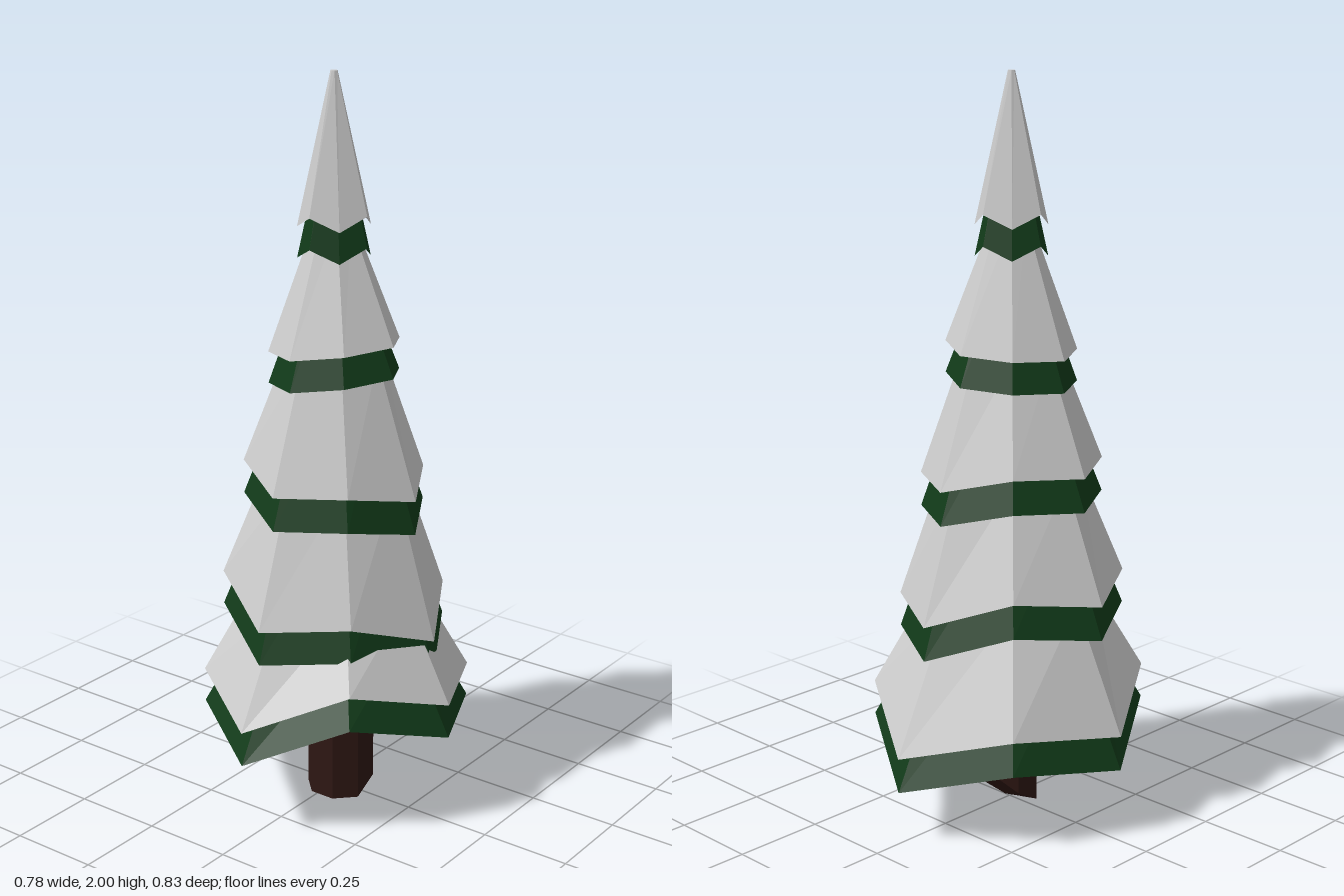
import * as THREE from 'three';

const SIDES = 8;
const CENTER_Z = 0.007;
const snowMat = new THREE.MeshStandardMaterial({ color: 0xcccccc, flatShading: true });
const leafMat = new THREE.MeshStandardMaterial({ color: 0x113a19, flatShading: true });
const barkMat = new THREE.MeshStandardMaterial({ color: 0x2e1713, flatShading: true });

// Faceted skin over a stack of eight-point rings, listed from the top down the outside
function loft(rings) {
  const pos = [];
  for (let i = 0; i < rings.length - 1; i++) {
    const a = rings[i], b = rings[i + 1];
    for (let k = 0; k < SIDES; k++) {
      const n = (k + 1) % SIDES;
      pos.push(...a[k], ...a[n], ...b[n], ...a[k], ...b[n], ...b[k]);
    }
  }
  const geo = new THREE.BufferGeometry();
  geo.setAttribute('position', new THREE.Float32BufferAttribute(pos, 3));
  geo.computeVertexNormals();
  return geo;
}

// Ring whose first point lies on +x and which turns towards +z; diagonals are pulled in a little
function ring(radius, y, diagonal = 0.915) {
  return Array.from({ length: SIDES }, (_, k) => {
    const a = (k / SIDES) * Math.PI * 2;
    const r = radius * (k % 2 ? diagonal : 1);
    return [Math.cos(a) * r, y, CENTER_Z + Math.sin(a) * r];
  });
}

// Copy of a ring, scaled about the tree axis and lifted
const inset = (pts, scale, lift) =>
  pts.map(([x, y, z]) => [x * scale, y + lift, CENTER_Z + (z - CENTER_Z) * scale]);

// Rim heights run: +x, front left, +z, front right, -x, back right, -z, back left
const tiers = [
  { top: [0.01, 2.0], r: 0.105, drop: 0.082, rim: [1.64, 1.605, 1.64, 1.605, 1.64, 1.605, 1.64, 1.605] },
  { top: [0.055, 1.62], r: 0.19, drop: 0.085, rim: [1.31, 1.3, 1.285, 1.275, 1.27, 1.275, 1.285, 1.3] },
  { top: [0.14, 1.27], r: 0.265, drop: 0.092, rim: [0.905, 0.94, 0.935, 0.98, 0.97, 0.98, 0.935, 0.94] },
  { top: [0.2, 0.95], r: 0.33, drop: 0.093, rim: [0.525, 0.6, 0.58, 0.665, 0.635, 0.665, 0.58, 0.6] },
  { top: [0.24, 0.62], r: 0.39, drop: 0.095, rim: [0.36, 0.435, 0.32, 0.385, 0.285, 0.315, 0.24, 0.345] },
];

// The widest tier has an uneven outline, given as x, z
const baseOutline = [[0.39, 0.02], [0.245, 0.27], [0, 0.415], [-0.245, 0.27],
  [-0.39, 0.02], [-0.265, -0.26], [0, -0.42], [0.265, -0.26]];

function buildTier({ top, r, drop, rim }, index) {
  const tier = new THREE.Group();
  tier.name = `tier${index + 1}`;
  const outline = index === tiers.length - 1
    ? baseOutline.map(([x, z], k) => [x, rim[k], z])
    : ring(r, 0).map(([x, , z], k) => [x, rim[k], z]);
  const crown = ring(...top);
  const tip = ring(0, top[1]);

  // Snow cap with a turned-in underside
  const snow = new THREE.Mesh(loft([tip, crown, outline, inset(outline, 0.84, 0.02)]), snowMat);
  snow.name = 'snowCap';

  // Needles: the same shape set lower, hollowed out beneath
  const edge = inset(outline, 1, -drop);
  const meanY = edge.reduce((sum, p) => sum + p[1], 0) / SIDES;
  const needles = new THREE.Mesh(loft([
    inset(tip, 1, -drop), inset(crown, 1, -drop), edge,
    inset(edge, 0.74, 0.03), inset(edge, 0.6, 0.12), ring(0, meanY + 0.12),
  ]), leafMat);
  needles.name = 'needles';

  tier.add(snow, needles);
  return tier;
}

// Eight-sided trunk with the back of its foot cut at a slant
function buildTrunk() {
  const geo = new THREE.CylinderGeometry(0.094, 0.094, 0.5, SIDES, 1, false, Math.PI / 8);
  geo.translate(0, 0.25, 0);
  const p = geo.attributes.position;
  for (let i = 0; i < p.count; i++) {
    if (p.getY(i) < 0.01) p.setY(i, Math.max(0, -p.getZ(i)) * 1.1);
  }
  geo.translate(0.017, 0, 0);
  geo.computeVertexNormals();
  const trunk = new THREE.Mesh(geo, barkMat);
  trunk.name = 'trunk';
  return trunk;
}

export function createModel() {
  const tree = new THREE.Group();
  tree.name = 'snowyFirTree';
  tiers.forEach((t, i) => tree.add(buildTier(t, i)));
  tree.add(buildTrunk());
  return tree;
}
